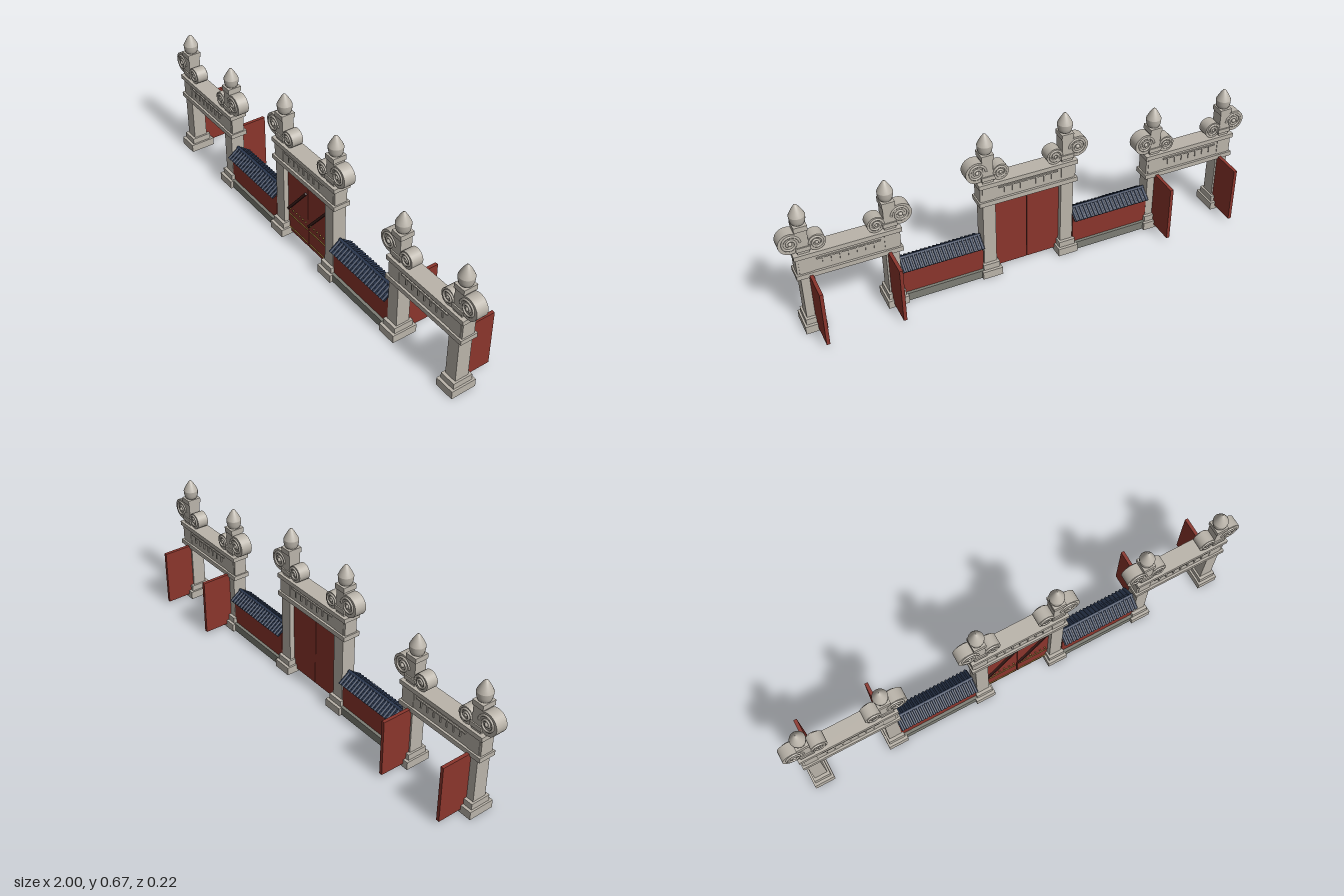
import * as THREE from 'three';

const mat = (name, color, side = THREE.FrontSide) => {
  const m = new THREE.MeshStandardMaterial({ color, side });
  m.name = name;
  return m;
};

export function createModel() {
  const stone = mat('stone', 0xbab4aa);
  const footing = mat('footing stone', 0x7d7e75);
  const red = mat('red paint', 0x8b352c);
  const tile = mat('roof tile', 0x2b3850);
  const dark = mat('dark timber', 0x41201c);
  const gold = mat('gold', 0xc9a24a);

  const model = new THREE.Group();
  model.name = 'gateway';
  const Z = 0.053; // every part is centred on this depth

  const add = (parent, name, geo, m, x = 0, y = 0, z = 0) => {
    const mesh = new THREE.Mesh(geo, m);
    mesh.name = name;
    mesh.position.set(x, y, z);
    parent.add(mesh);
    return mesh;
  };
  // box given by its bottom and top heights
  const box = (parent, name, m, x, y0, y1, w, d, z = 0) =>
    add(parent, name, new THREE.BoxGeometry(w, y1 - y0, d), m, x, (y0 + y1) / 2, z);
  const group = (parent, name, x, y = 0, z = 0) => {
    const g = new THREE.Group();
    g.name = name;
    g.position.set(x, y, z);
    parent.add(g);
    return g;
  };

  const finialGeo = new THREE.LatheGeometry([
    [0, 0], [0.023, 0], [0.027, 0.008], [0.03, 0.02], [0.031, 0.036], [0.031, 0.037],
    [0.025, 0.05], [0.015, 0.068], [0.006, 0.081], [0, 0.085],
  ].map(([r, y]) => new THREE.Vector2(r, y)), 24);

  // round scroll with raised spiral on both faces
  function scroll(parent, x, y, r, dir) {
    const g = group(parent, 'scroll', x, y);
    add(g, 'scrollDrum', new THREE.CylinderGeometry(r, r, 0.05, 28), stone).rotation.x = Math.PI / 2;
    const pts = [];
    for (let i = 0; i <= 24; i++) {
      const a = (i / 24) * Math.PI * 3.2;
      const q = r * (0.82 - 0.6 * i / 24);
      pts.push(new THREE.Vector3(-dir * Math.cos(a) * q, Math.sin(a) * q, 0));
    }
    const spiral = new THREE.TubeGeometry(new THREE.CatmullRomCurve3(pts), 40, 0.005, 6);
    for (const s of [-1, 1]) {
      add(g, 'scrollSpiral', spiral, stone, 0, 0, s * 0.026);
      add(g, 'scrollEye', new THREE.SphereGeometry(r * 0.2, 10, 8), stone, 0, 0, s * 0.025);
    }
  }

  // post with plinth, scrolls and finial; out is the side of the large scroll
  function post(parent, x, out, lintelTop, top) {
    const g = group(parent, 'post', x);
    box(g, 'plinth', stone, 0, 0, 0.035, 0.086, 0.11);
    box(g, 'plinthStep', stone, 0, 0.035, 0.061, 0.07, 0.086);
    box(g, 'shaft', stone, 0, 0.061, lintelTop, 0.054, 0.06);
    box(g, 'upperShaft', stone, 0, lintelTop, top, 0.045, 0.052);
    box(g, 'collar', stone, 0, lintelTop + 0.012, lintelTop + 0.03, 0.056, 0.062);
    box(g, 'cap', stone, 0, top - 0.022, top, 0.052, 0.06);
    add(g, 'finial', finialGeo, stone, 0, top, 0);
    scroll(g, out * 0.045, lintelTop + 0.056, 0.046, out);
    scroll(g, -out * 0.053, lintelTop + 0.035, 0.035, -out);
  }

  // two posts joined by a lintel
  function gate(name, x, half, lintel0, lintel1, postTop) {
    const g = group(model, name, x, 0, Z);
    const w = half * 2 + 0.085;
    post(g, -half, -1, lintel1, postTop);
    post(g, half, 1, lintel1, postTop);
    box(g, 'lintel', stone, 0, lintel0, lintel1, w - 0.012, 0.056);
    box(g, 'lowerLedge', stone, 0, lintel0, lintel0 + 0.02, w, 0.075);
    box(g, 'upperLedge', stone, 0, lintel1 - 0.019, lintel1, w, 0.075);
    // raised panel with short slats on both faces
    const mid = (lintel0 + lintel1) / 2;
    for (const s of [-1, 1]) {
      const z = s * 0.029;
      box(g, 'panelRail', stone, 0, mid + 0.016, mid + 0.022, half * 1.5, 0.008, z);
      for (let i = -3; i <= 3; i++) {
        box(g, 'panelSlat', stone, i * half * 0.2, mid - 0.012, mid + 0.016, 0.006, 0.006, z);
      }
    }
    return g;
  }

  // main gate with closed doors
  const main = gate('mainGate', 0, 0.17, 0.35, 0.453, 0.58);
  for (const s of [-1, 1]) {
    const door = group(main, 'door', s * 0.0725);
    box(door, 'doorLeaf', red, 0, 0.016, 0.352, 0.142, 0.018);
    for (const y of [0.032, 0.1, 0.318]) {
      box(door, 'doorBand', gold, 0, y, y + 0.004, 0.132, 0.004, 0.01);
    }
    for (let i = 0; i < 6; i++) {
      add(door, 'doorStud', new THREE.SphereGeometry(0.004, 8, 6), gold, -0.055 + i * 0.022, 0.133, 0.01);
    }
    const bar = box(door, 'doorBrace', dark, -0.003, 0.105, 0.305, 0.01, 0.008, 0.013);
    bar.rotation.z = -0.69;
  }
  box(main, 'doorSeam', dark, 0, 0.016, 0.35, 0.004, 0.012);

  for (const s of [-1, 1]) {
    // side gate with both leaves swung back
    const side = gate('sideGate', s * 0.741, 0.167, 0.255, 0.366, 0.49);
    for (const x of [-0.154, 0.154]) {
      box(side, 'openDoor', red, x, 0.016, 0.264, 0.014, 0.131, -0.0945);
    }

    // tiled wall between the gates
    const wall = group(model, 'wall', s * 0.374, 0, Z);
    const len = 0.346;
    box(wall, 'wallFooting', footing, 0, 0, 0.036, len, 0.084);
    box(wall, 'wallPanel', red, 0, 0.036, 0.16, len, 0.058);
    for (const f of [-1, 1]) {
      const slope = group(wall, 'roofSlope', 0, 0.171, f * 0.025);
      slope.rotation.x = f * 0.62;
      box(slope, 'roofSlab', tile, 0, -0.003, 0.003, len, 0.061);
      for (let i = 0; i < 20; i++) {
        const rib = new THREE.CylinderGeometry(0.0055, 0.0055, 0.062, 8);
        add(slope, 'roofRib', rib, tile, (i + 0.5 - 10) * len / 20, 0.003, 0).rotation.x = Math.PI / 2;
      }
    }
    const ridge = new THREE.CylinderGeometry(0.007, 0.007, len, 10);
    add(wall, 'roofRidge', ridge, tile, 0, 0.19, 0).rotation.z = Math.PI / 2;
  }
  return model;
}
